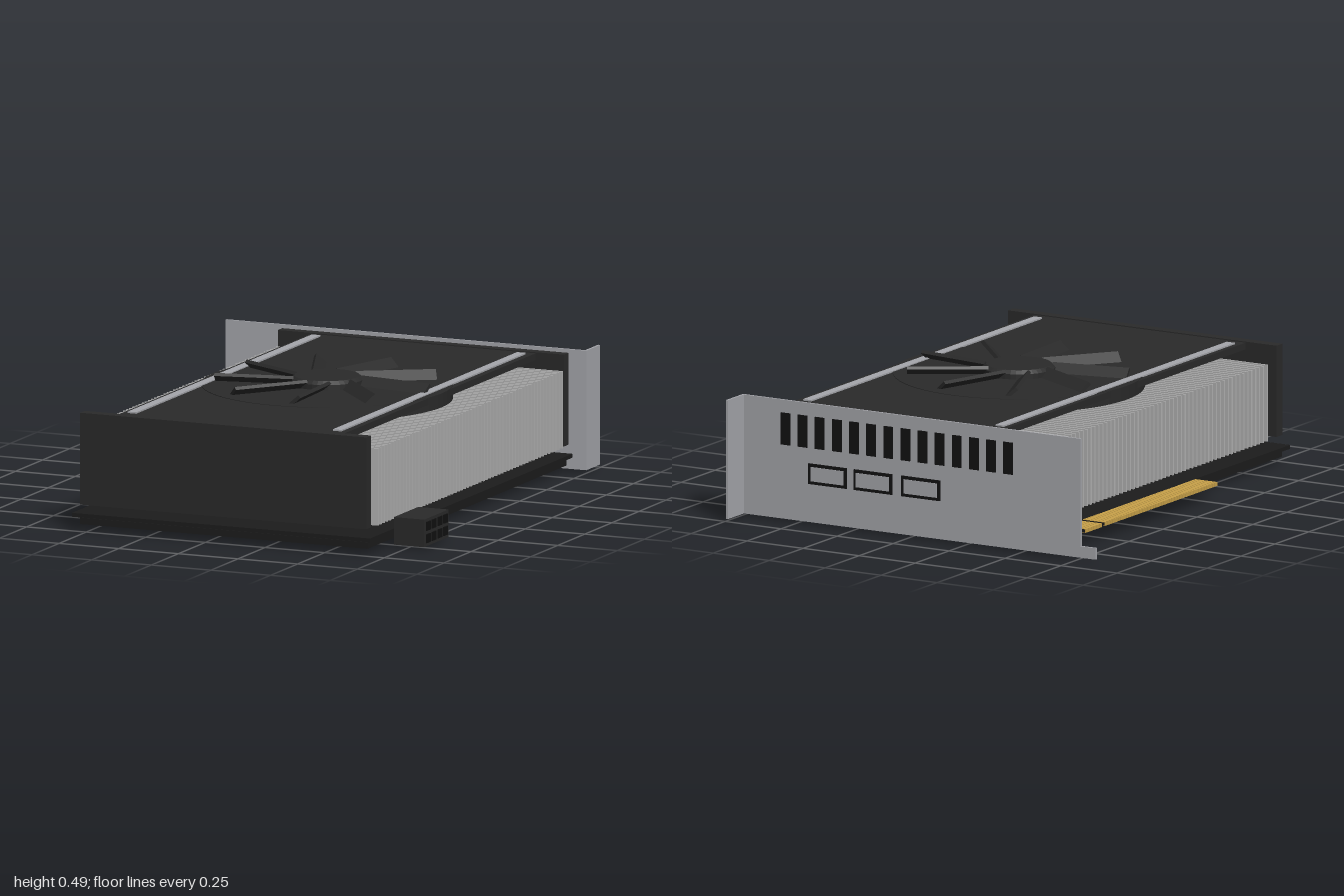
import * as THREE from 'three';

const mat = (name, color) => {
  const m = new THREE.MeshStandardMaterial({ color });
  m.name = name;
  return m;
};

export function createModel() {
  const root = new THREE.Group();
  root.name = 'expansionCard';
  const shroudBlack = mat('shroudBlack', 0x2a2a2a);
  const boardBlack = mat('boardBlack', 0x1c1c1c);
  const socketBlack = mat('socketBlack', 0x111111);
  const steel = mat('steel', 0xa6a7ac);
  const aluminium = mat('aluminium', 0xb4b4b4);
  const gold = mat('gold', 0xc9a24a);

  const add = (name, geo, material, parent = root) => {
    const m = new THREE.Mesh(geo, material);
    m.name = name;
    parent.add(m);
    return m;
  };
  // Box given by its minimum and maximum on each axis
  const box = (name, x0, x1, y0, y1, z0, z1, material, parent = root) => {
    const m = add(name, new THREE.BoxGeometry(x1 - x0, y1 - y0, z1 - z0), material, parent);
    m.position.set((x0 + x1) / 2, (y0 + y1) / 2, (z0 + z1) / 2);
    return m;
  };
  const group = (name, parent = root) => {
    const g = new THREE.Group();
    g.name = name;
    parent.add(g);
    return g;
  };

  // Circuit board and backplate
  box('circuitBoard', -0.56, 0.69, 0.055, 0.07, -0.87, 1, boardBlack);
  box('backplate', -0.535, 0.67, 0.025, 0.05, -0.86, 0.98, boardBlack);
  box('backplateSpacer', -0.52, 0.655, 0.05, 0.055, -0.84, 0.96, boardBlack);
  const slots = group('backplateSlots');
  for (let i = 0; i < 5; i++) {
    const z = 0.17 + i * 0.075;
    box('backplateSlot', -0.18, 0.34, 0.021, 0.026, z - 0.012, z + 0.012, socketBlack, slots);
  }
  const screws = group('screws');
  for (const x of [-0.44, 0.56]) for (const z of [0.67, 0.065, -0.43]) {
    add('screw', new THREE.CylinderGeometry(0.026, 0.022, 0.025, 12), steel, screws).position.set(x, 0.0125, z);
  }

  // Edge connector: two tongues carrying rows of contacts
  const edge = group('edgeConnector');
  for (const [z0, z1] of [[-0.67, -0.55], [-0.53, 0.3]]) {
    box('connectorTongue', -0.657, -0.56, 0.057, 0.068, z0, z1, boardBlack, edge);
    const n = Math.round((z1 - z0) / 0.02), pitch = (z1 - z0) / n;
    for (let i = 0; i < n; i++) {
      const z = z0 + i * pitch;
      box('contact', -0.66, -0.562, 0.055, 0.07, z + 0.0015, z + pitch - 0.0015, gold, edge);
    }
  }

  // Power socket
  const power = group('powerSocket');
  box('powerSocketBody', 0.695, 0.822, 0.01, 0.117, 0.565, 0.79, shroudBlack, power);
  for (let i = 0; i < 4; i++) for (const y of [0.04, 0.088]) {
    const z = 0.598 + i * 0.053;
    box('powerSocketHole', 0.821, 0.827, y - 0.017, y + 0.017, z - 0.018, z + 0.018, socketBlack, power);
  }

  // Heatsink fins and the heat pipes running through them
  const heatsink = group('heatsink');
  const finCount = 60;
  for (let i = 0; i < finCount; i++) {
    const z = -0.81 + (1.7 * i) / (finCount - 1);
    box('fin', -0.525, 0.675, 0.1, 0.4, z - 0.004, z + 0.004, aluminium, heatsink);
  }
  for (const x of [-0.33, -0.06, 0.21, 0.48]) {
    const pipe = add('heatPipe', new THREE.CylinderGeometry(0.031, 0.031, 1.78, 20), aluminium, heatsink);
    pipe.rotation.x = Math.PI / 2;
    pipe.position.set(x, 0.25, 0.07);
  }

  // Shroud: end caps, top plate, round fan seat and light strips
  const shroud = group('shroud');
  box('frontCap', -0.525, 0.675, 0.105, 0.462, 0.957, 1, shroudBlack, shroud);
  box('rearCap', -0.525, 0.675, 0.105, 0.462, -0.866, -0.825, shroudBlack, shroud);
  box('topPlate', -0.387, 0.556, 0.432, 0.458, -0.825, 0.957, shroudBlack, shroud);
  const cx = 0.085, cz = 0.065;
  add('fanSeat', new THREE.CylinderGeometry(0.482, 0.482, 0.054, 64), shroudBlack, shroud)
    .position.set(cx, 0.433, cz);
  for (const x of [-0.348, 0.512]) {
    box('trimStrip', x - 0.018, x + 0.018, 0.455, 0.464, -0.79, 0.912, steel, shroud);
  }

  // Fan with nine pitched blades
  const fan = group('fan');
  fan.position.set(cx, 0.435, cz);
  const hub = [[0, -0.06], [0.13, -0.06], [0.14, -0.05], [0.14, 0.045], [0.125, 0.058], [0, 0.058]];
  const hubGeo = new THREE.LatheGeometry(hub.map(([r, y]) => new THREE.Vector2(r, y)), 40).toNonIndexed();
  hubGeo.computeVertexNormals();
  add('fanHub', hubGeo, shroudBlack, fan);
  for (let i = 0; i < 9; i++) {
    const arm = group('fanBlade', fan);
    arm.rotation.y = -((8 + i * 40) * Math.PI) / 180;
    const blade = add('blade', new THREE.BoxGeometry(0.31, 0.014, 0.165), shroudBlack, arm);
    blade.position.x = 0.272;
    blade.rotation.x = (41 * Math.PI) / 180;
  }

  // Mounting bracket with side flange and foot
  const bracket = group('bracket');
  box('bracketPlate', -0.765, 0.747, 0.01, 0.475, -0.881, -0.872, steel, bracket);
  box('bracketFlange', 0.738, 0.747, 0.01, 0.475, -1, -0.881, steel, bracket);
  box('bracketFoot', -0.832, -0.765, 0.01, 0.055, -0.881, -0.872, steel, bracket);
  for (let i = 0; i < 14; i++) {
    const x = -0.443 + i * 0.0765;
    box('vent', x - 0.021, x + 0.021, 0.3, 0.425, -0.885, -0.88, socketBlack, bracket);
  }
  // Display ports
  for (const x of [-0.053, 0.16, 0.363]) {
    box('portHousing', x - 0.086, x + 0.086, 0.16, 0.24, -0.887, -0.8, socketBlack, bracket);
    box('portFace', x - 0.074, x + 0.074, 0.172, 0.228, -0.889, -0.886, steel, bracket);
  }
  return root;
}
